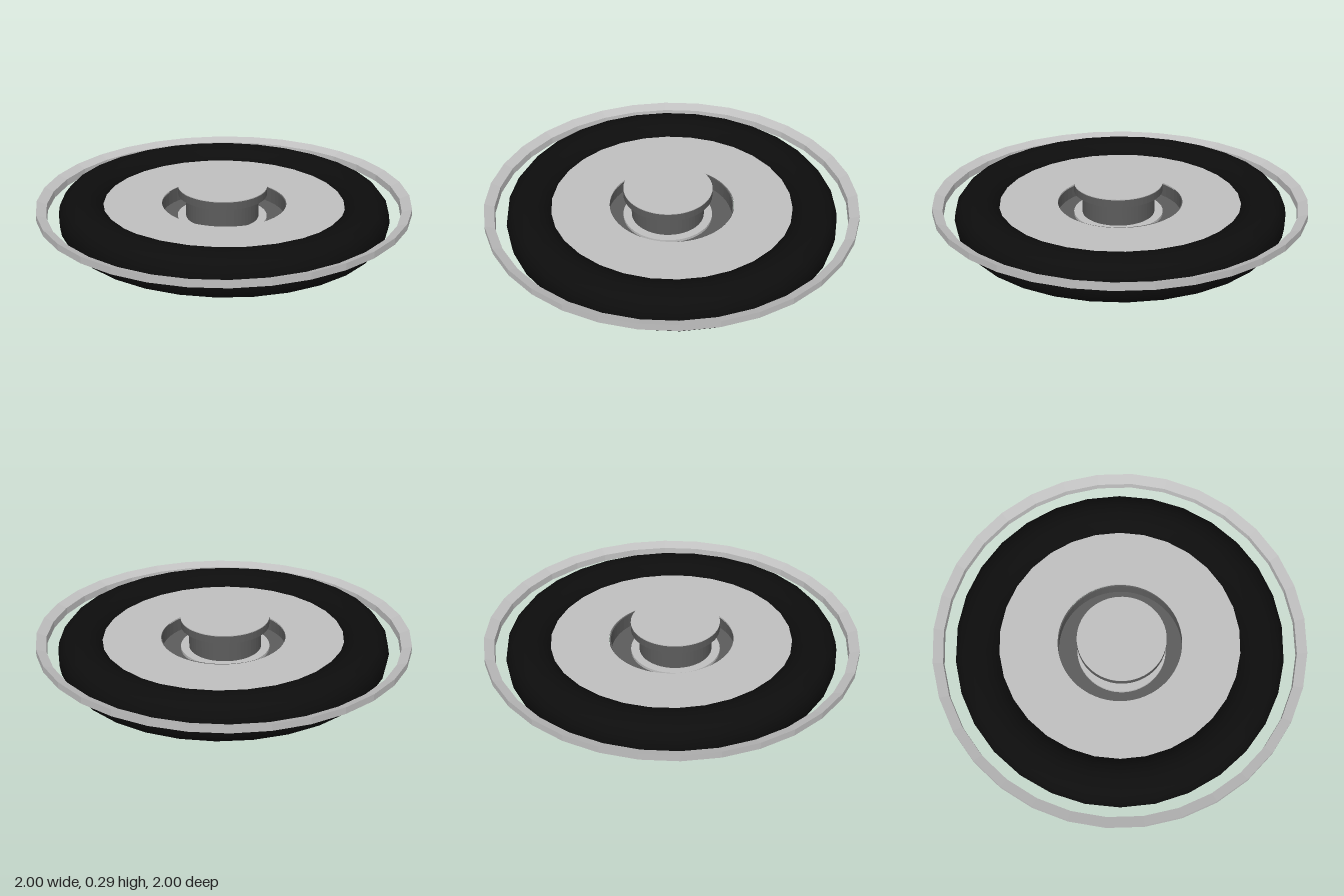
import * as THREE from 'three';

export function createModel() {
  const model = new THREE.Group();
  const mat = (name, color, flat) => {
    const m = new THREE.MeshStandardMaterial({ color, flatShading: flat });
    m.name = name;
    return m;
  };
  const light = mat('light metal', 0xc0c0c0, true);
  const dark = mat('dark metal', 0x5c5c5c, true);
  const rubber = mat('black rubber', 0x0d0d0d, false);

  // Revolve a closed cross-section, listed counter-clockwise as [radius, y]
  const ring = (name, points, sides, material, parent) => {
    const profile = [...points, points[0]].map(([r, y]) => new THREE.Vector2(r, y));
    const mesh = new THREE.Mesh(new THREE.LatheGeometry(profile, sides), material);
    mesh.name = name;
    parent.add(mesh);
    return mesh;
  };
  const cylinder = (name, radius, bottom, top, material, parent) => {
    const mesh = new THREE.Mesh(new THREE.CylinderGeometry(radius, radius, top - bottom, 56), material);
    mesh.name = name;
    mesh.position.y = (bottom + top) / 2;
    parent.add(mesh);
    return mesh;
  };

  // Wheel body, lying very slightly off level
  const wheel = new THREE.Group();
  wheel.name = 'wheel';
  wheel.rotation.set(-0.007, 0, -0.007);
  model.add(wheel);

  // Tyre with rounded shoulders and sloping inner beads
  ring('tyre', [
    [0.655, 0.05], [0.70, 0.02], [0.75, 0.007], [0.80, 0.012], [0.85, 0.035], [0.88, 0.075],
    [0.888, 0.125], [0.88, 0.175], [0.85, 0.215], [0.80, 0.236], [0.75, 0.241], [0.70, 0.23],
    [0.655, 0.20], [0.645, 0.17], [0.643, 0.125], [0.645, 0.08],
  ], 30, rubber, wheel);

  // Thin wheel disc with a central opening
  ring('wheelDisc', [[0.335, 0.172], [0.66, 0.172], [0.66, 0.18], [0.335, 0.18]], 60, light, wheel);

  // Hub: a sunken cup, a flange on its floor, and a capped stem
  const hub = new THREE.Group();
  hub.name = 'hub';
  hub.position.z = 0.01;
  wheel.add(hub);
  ring('hubCup', [[0, 0.088], [0.342, 0.088], [0.342, 0.178], [0.335, 0.178], [0.335, 0.1], [0, 0.1]],
    56, dark, hub);
  const stem = new THREE.Group();
  stem.name = 'stem';
  stem.position.z = 0.012;
  hub.add(stem);
  cylinder('stemFlange', 0.24, 0.099, 0.115, light, stem);
  cylinder('stemPost', 0.195, 0.11, 0.245, dark, stem);
  cylinder('hubCap', 0.238, 0.24, 0.281, dark, stem);
  cylinder('hubCapFace', 0.238, 0.281, 0.285, light, stem);

  // Faceted outer hoop: dished flange above a narrow lip, tilted the other way
  const hoop = ring('outerHoop', [
    [0.947, 0.146], [0.957, 0.146], [0.957, 0.166], [1.003, 0.166], [1.003, 0.203], [0.95, 0.183],
  ], 32, light, model);
  hoop.rotation.set(0.004, Math.PI / 32, 0.004);

  return model;
}
